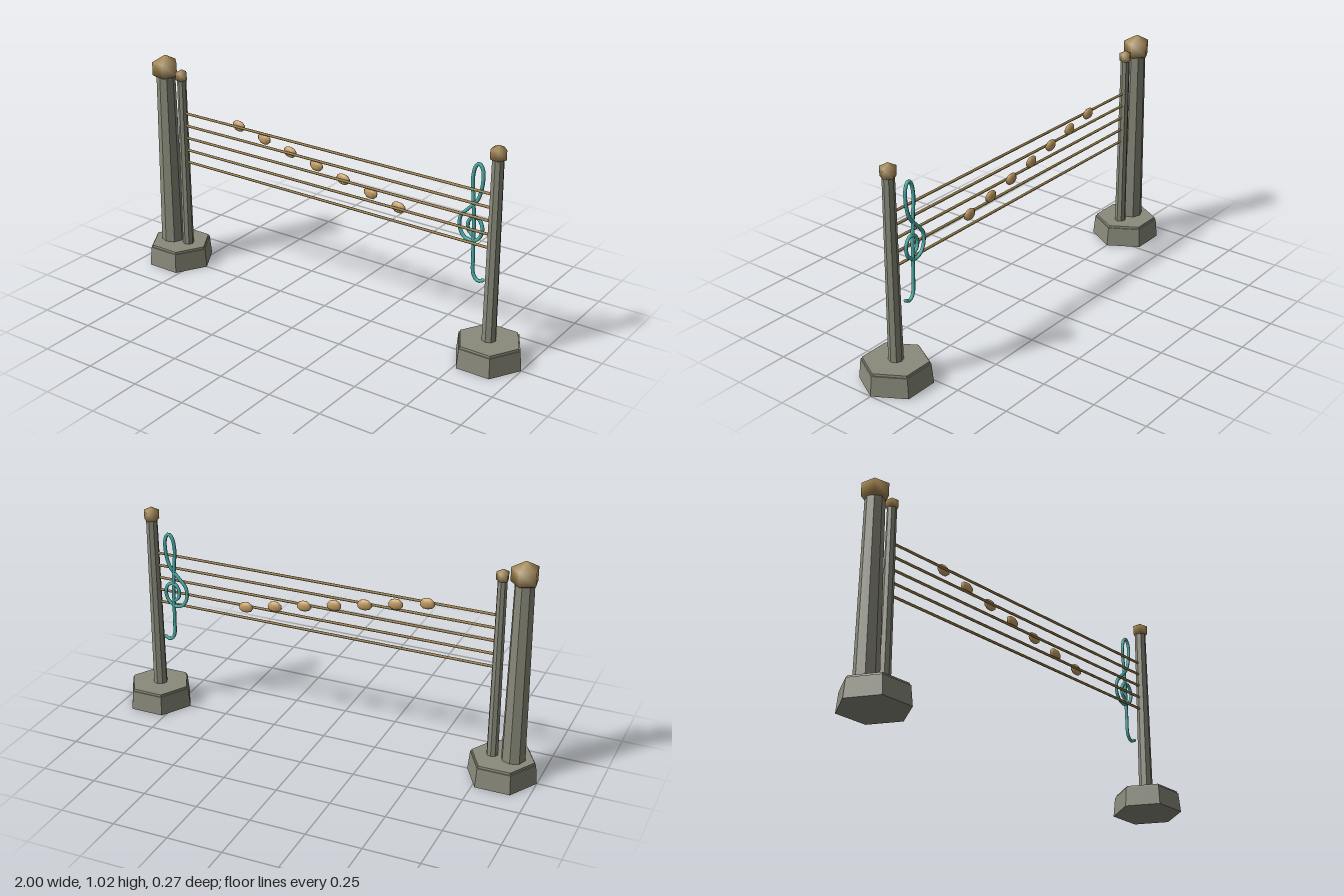
import * as THREE from 'three';

const mat = (name, color, flatShading = false) => {
  const m = new THREE.MeshStandardMaterial({ color, flatShading });
  m.name = name;
  return m;
};

export function createModel() {
  const group = new THREE.Group();
  const stone = mat('stone', 0x8a8b7b, true);
  const bronze = mat('bronze', 0xa08450);
  const gold = mat('pale gold', 0xc8a165);
  const teal = mat('teal', 0x4fb3ae);

  const add = (name, geometry, material, x, y, z = 0) => {
    const mesh = new THREE.Mesh(geometry, material);
    mesh.name = name;
    mesh.position.set(x, y, z);
    group.add(mesh);
    return mesh;
  };

  // Hexagonal footings, each with a slightly recessed top plate
  const footing = (name, x) => {
    const body = new THREE.CylinderGeometry(0.148, 0.157, 0.09, 6);
    const plate = new THREE.CylinderGeometry(0.141, 0.143, 0.012, 6);
    add(name, body, stone, x, 0.045).rotation.y = Math.PI / 6;
    add(name + 'Plate', plate, stone, x, 0.094).rotation.y = Math.PI / 6;
  };
  footing('rightFooting', -0.843);
  footing('leftFooting', 0.843);

  // Tapered posts with five-sided finials
  const post = (name, x, bottom, top, finialRadius, finialY, halfRing, peak) => {
    const h = 0.83;
    add(name, new THREE.CylinderGeometry(top, bottom, h, 8), stone, x, 0.09 + h / 2);
    const profile = [[0, -peak], [finialRadius, -halfRing], [finialRadius, halfRing], [0, peak]]
      .map(([r, y]) => new THREE.Vector2(r, y));
    const finial = add(name + 'Finial', new THREE.LatheGeometry(profile, 5), bronze, x, finialY);
    finial.rotation.y = Math.PI / 2 + 0.15;
  };
  post('mainPost', -0.889, 0.054, 0.043, 0.06, 0.958, 0.031, 0.064);
  post('rightStringPost', -0.795, 0.026, 0.021, 0.028, 0.938, 0.017, 0.032);
  post('leftStringPost', 0.841, 0.032, 0.026, 0.035, 0.94, 0.021, 0.039);

  // Five staff strings
  for (let i = 0; i < 5; i++) {
    const string = new THREE.CylinderGeometry(0.006, 0.006, 1.61, 6);
    add('staffString', string, bronze, 0.02, 0.76 - 0.06 * i).rotation.z = Math.PI / 2;
  }

  // Seven flattened note heads descending behind the strings
  for (let i = 0; i < 7; i++) {
    const note = add('noteHead', new THREE.SphereGeometry(1, 7, 5), gold,
      -0.48 + 0.142 * i, 0.76 - 0.03 * i, -0.014);
    note.scale.set(0.036, 0.026, 0.013);
    note.rotation.z = -0.12;
  }

  // Treble clef bent from one rod
  const path = [
    [0.79, 0.355], [0.765, 0.346], [0.744, 0.368], [0.738, 0.46], [0.735, 0.6],
    [0.728, 0.71], [0.721, 0.80], [0.732, 0.855], [0.748, 0.87], [0.764, 0.85],
    [0.768, 0.79], [0.748, 0.71], [0.705, 0.66], [0.672, 0.62], [0.67, 0.565],
    [0.695, 0.528], [0.73, 0.52], [0.765, 0.545], [0.775, 0.59], [0.757, 0.625],
    [0.728, 0.628], [0.708, 0.6], [0.711, 0.565], [0.73, 0.548],
  ].map(([x, y]) => new THREE.Vector3(x, y, 0));
  const curve = new THREE.CatmullRomCurve3(path);
  add('trebleClef', new THREE.TubeGeometry(curve, 120, 0.008, 6), teal, 0, 0, -0.018);
  for (const end of [path[0], path[path.length - 1]]) {
    add('clefEnd', new THREE.SphereGeometry(0.008, 6, 4), teal, end.x, end.y, -0.018);
  }

  return group;
}
